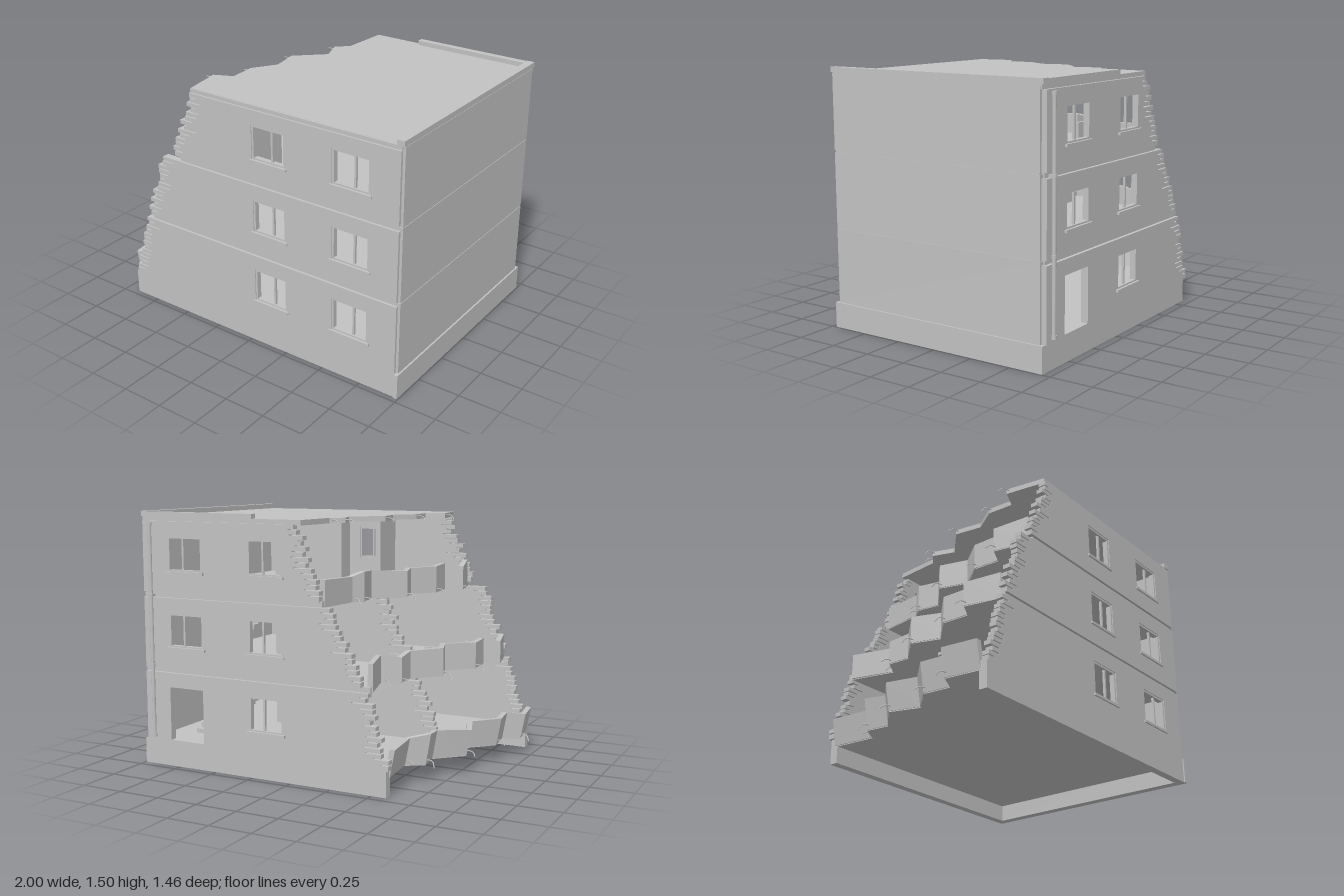
import * as THREE from 'three';

export function createModel() {
  const root = new THREE.Group();
  root.name = 'ruinedBuilding';
  const concrete = new THREE.MeshStandardMaterial({ color: 0xc2c2c2, side: THREE.DoubleSide });
  concrete.name = 'concrete grey';

  let seed = 7;
  const rnd = () => (seed = (seed * 16807) % 2147483647) / 2147483647;

  const add = (name, geo, parent = root) => {
    const m = new THREE.Mesh(geo, concrete);
    m.name = name;
    parent.add(m);
    return m;
  };
  // box given by its min and max on each axis
  const box = (name, x0, x1, y0, y1, z0, z1, parent) =>
    add(name, new THREE.BoxGeometry(x1 - x0, y1 - y0, z1 - z0)
      .translate((x0 + x1) / 2, (y0 + y1) / 2, (z0 + z1) / 2), parent);

  // wall in the xy plane with a broken brick edge on the low x side
  function brokenWall(name, y0, y1, xBottom, xTop, xEnd, z0, depth, holes = []) {
    const s = new THREE.Shape();
    s.moveTo(xEnd, y0);
    s.lineTo(xEnd, y1);
    const n = Math.round((y1 - y0) / 0.03), h = (y1 - y0) / n;
    for (let i = n - 1; i >= 0; i--) {
      const t = Math.floor(i / 2) * 2 / (n - 1);
      const x = xBottom + (xTop - xBottom) * t + (rnd() - 0.5) * 0.035;
      const back = x + 0.03 + rnd() * 0.06, y = y0 + i * h;
      s.lineTo(x, y + h);
      s.lineTo(x, y + h * 0.2);
      if (i > 0) {
        s.lineTo(back, y + h * 0.2);
        s.lineTo(back, y);
      } else s.lineTo(x, y);
    }
    for (const [a, b, c, d] of holes) {
      const p = new THREE.Path();
      p.moveTo(a, c); p.lineTo(a, d); p.lineTo(b, d); p.lineTo(b, c); p.closePath();
      s.holes.push(p);
    }
    const g = new THREE.ExtrudeGeometry(s, { depth, bevelEnabled: false });
    return add(name, g.translate(0, 0, z0));
  }

  // window frame, mullion and sill; side is +1 at the front, -1 at the back
  function windowFrame(x0, x1, y0, y1, side) {
    const g = new THREE.Group();
    g.name = 'window';
    root.add(g);
    const t = 0.012, za = side > 0 ? 0.68 : -0.71, zb = za + 0.03;
    box('frameBottom', x0, x1, y0, y0 + t, za, zb, g);
    box('frameTop', x0, x1, y1 - t, y1, za, zb, g);
    box('frameLeft', x0, x0 + t, y0, y1, za, zb, g);
    box('frameRight', x1 - t, x1, y0, y1, za, zb, g);
    const xm = x0 + (x1 - x0) * 0.58;
    box('mullion', xm - 0.006, xm + 0.006, y0, y1, za + 0.008, zb - 0.008, g);
    const zs = side > 0 ? 0.69 : -0.725;
    box('sill', x0 - 0.012, x1 + 0.012, y0 - 0.012, y0 + 0.003, zs, zs + 0.035, g);
  }

  // broken slab edges from back to front, one x per z station
  const zs = [-0.69, -0.4, -0.34, -0.2, -0.05, 0.12, 0.26, 0.42, 0.47, 0.7];
  const edges = [
    [-0.59, -0.56, -0.66, -0.64, -0.79, -0.73, -0.86, -0.84, -0.94, -0.91],
    [-0.49, -0.41, -0.51, -0.5, -0.64, -0.58, -0.72, -0.71, -0.8, -0.75],
    [-0.2, -0.23, -0.275, -0.25, -0.41, -0.355, -0.46, -0.45, -0.55, -0.5],
    [-0.07, -0.09, -0.16, -0.11, -0.27, -0.24, -0.33, -0.32, -0.43, -0.39],
  ];
  const slabY = [[0.1, 0.152], [0.555, 0.59], [0.998, 1.034], [1.435, 1.465]];

  slabY.forEach(([y0, y1], f) => {
    const s = new THREE.Shape();
    s.moveTo(0.96, 0.69);
    s.lineTo(0.96, -0.7);
    for (let i = zs.length - 1; i >= 0; i--) s.lineTo(edges[f][i], -zs[i]);
    const g = new THREE.ExtrudeGeometry(s, { depth: y1 - y0, bevelEnabled: false });
    add(f === 3 ? 'roofSlab' : 'floorSlab', g.rotateX(-Math.PI / 2).translate(0, y0, 0));

    // bent reinforcement bars
    [1, 2, 4, 6, 8].forEach((i) => {
      const x = edges[f][i], y = (y0 + y1) / 2, z = zs[i], k = rnd() * 0.02;
      const path = new THREE.CatmullRomCurve3([
        new THREE.Vector3(x + 0.04, y, z + 0.01), new THREE.Vector3(x - 0.02, y + 0.004, z + 0.012),
        new THREE.Vector3(x - 0.045, y - 0.002, z + 0.004), new THREE.Vector3(x - 0.06, y - 0.012 - k, z - 0.012),
      ]);
      add('rebar', new THREE.TubeGeometry(path, 8, 0.0035, 5));
    });
  });

  // low broken end wall: prism swept along the slab edge
  function endWall(f, lean) {
    const pos = [], rows = [];
    const base = slabY[f][0] + 0.005, top = slabY[f][1] + 0.135;
    for (let i = 0; i < zs.length; i++) {
      const z = Math.max(-0.665, Math.min(0.675, zs[i]));
      const x = edges[f][i] - 0.004, y = top - rnd() * 0.03;
      rows.push([[x, base, z], [x + 0.032, base, z], [x + 0.032 - lean, y, z], [x - lean, y, z]]);
    }
    const quad = (a, b, c, d) => pos.push(...a, ...b, ...c, ...a, ...c, ...d);
    for (let i = 0; i < rows.length - 1; i++)
      for (let k = 0; k < 4; k++) {
        const n = (k + 1) % 4;
        quad(rows[i][k], rows[i][n], rows[i + 1][n], rows[i + 1][k]);
      }
    quad(rows[0][3], rows[0][2], rows[0][1], rows[0][0]);
    quad(...rows[rows.length - 1]);
    const g = new THREE.BufferGeometry();
    g.setAttribute('position', new THREE.Float32BufferAttribute(pos, 3));
    g.computeVertexNormals();
    add('brokenEndWall', g);
  }
  endWall(0, 0.03);
  endWall(1, 0);
  endWall(2, 0);

  // short stubs behind the end walls
  [[1, 3], [1, 5], [1, 7], [2, 3], [2, 5], [2, 7]].forEach(([f, i]) => {
    const x = edges[f][i] + 0.02, y = slabY[f][1];
    box('wallStub', x, x + 0.1, y - 0.01, y + 0.1, zs[i] - 0.012, zs[i] + 0.012);
  });

  // plinth, open on the ruined side
  box('plinthFront', -0.912, 0.97, 0, 0.148, 0.665, 0.715);
  box('plinthBack', -0.59, 0.97, 0, 0.148, -0.7, -0.65);
  box('plinthRight', 0.94, 0.995, 0, 0.148, -0.7, 0.695);
  box('plinthCorner', 0.97, 0.995, 0, 0.148, 0.695, 0.722);

  // storeys
  const storeys = [
    { y: [0.148, 0.56], win: [0.272, 0.475], front: [-0.905, -0.775], back: [-0.59, -0.47] },
    { y: [0.585, 1.0], win: [0.712, 0.912], front: [-0.76, -0.62], back: [-0.45, -0.25] },
    { y: [1.03, 1.44], win: [1.152, 1.355], front: [-0.53, -0.37], back: [-0.2, -0.04] },
  ];
  const bays = [[0.035, 0.258], [0.56, 0.795]];
  storeys.forEach(({ y, win, front, back }, f) => {
    const holes = bays.map((b) => [...b, ...win]);
    brokenWall('frontWall', y[0], y[1], ...front, 0.97, 0.672, 0.043, holes);
    const backHoles = f === 0 ? [holes[0], [0.57, 0.8, 0.16, 0.475]] : holes;
    brokenWall('backWall', y[0], y[1], ...back, 0.97, -0.71, 0.043, backHoles);
    bays.forEach((b, i) => {
      windowFrame(...b, ...win, 1);
      if (f > 0 || i === 0) windowFrame(...b, ...win, -1);
    });
    box('rightWall', 0.945, 0.985, y[0], y[1] + 0.02, -0.68, 0.7);
    // inner partition across the depth, with a doorway on the lower floors
    if (f < 2) {
      brokenWall('partition', y[0], y[1], [-0.6, -0.43][f], [-0.45, -0.24][f], 0.03, -0.01, 0.035);
      box('partition', 0.165, 0.5, y[0], y[1], -0.01, 0.025);
      box('doorLintel', 0.03, 0.165, win[1] + 0.01, y[1], -0.01, 0.025);
    } else {
      box('partition', 0.02, 0.5, y[0], y[1], -0.01, 0.025);
      box('crossPartition', 0.0, 0.035, y[0], y[1], 0.45, 0.672);
      box('crossPartition', 0.0, 0.035, y[0], y[1], -0.08, 0.025);
    }
  });

  // recessed floor bands at the right wall
  slabY.slice(1, 3).forEach(([y0, y1]) => box('floorBand', 0.945, 0.982, y0, y1, -0.675, 0.695));

  // stairs with landing and railing in the right-hand bay
  [0.15, 0.59].forEach((y) => {
    const g = new THREE.Group();
    g.name = 'stairs';
    root.add(g);
    const n = 7, rise = 0.2 / n;
    for (let i = 0; i < n; i++)
      box('step', 0.56, 0.79, y + i * rise, y + (i + 1) * rise, -0.47 + i * 0.05, -0.415 + i * 0.05, g);
    box('landing', 0.56, 0.79, y + 0.19, y + 0.215, -0.12, 0.05, g);
    [0.69, 0.755, 0.78].forEach((x) => box('railPost', x, x + 0.008, y + 0.21, y + 0.33, 0.03, 0.038, g));
    [0.26, 0.29].forEach((h) => box('rail', 0.56, 0.79, y + h, y + h + 0.006, 0.03, 0.038, g));
  });

  // roof edge
  box('parapetRight', 0.94, 0.986, 1.465, 1.495, -0.7, 0.712);
  box('parapetBack', 0.235, 0.94, 1.465, 1.492, -0.7, -0.66);
  box('roofCorniceFront', -0.39, 0.97, 1.442, 1.464, 0.67, 0.708);
  box('roofCorniceRight', 0.94, 0.983, 1.44, 1.466, -0.69, 0.7);

  // drain pipe at the back
  add('drainPipe', new THREE.CylinderGeometry(0.011, 0.011, 1.26, 10).translate(0.915, 0.8, -0.718));
  [0.18, 0.6, 1.01, 1.42].forEach((y) => {
    add('pipeCollar', new THREE.CylinderGeometry(0.015, 0.015, 0.02, 10).translate(0.915, y, -0.718));
    box('pipeBracket', 0.905, 0.925, y - 0.006, y + 0.006, -0.718, -0.69);
  });

  return root;
}
